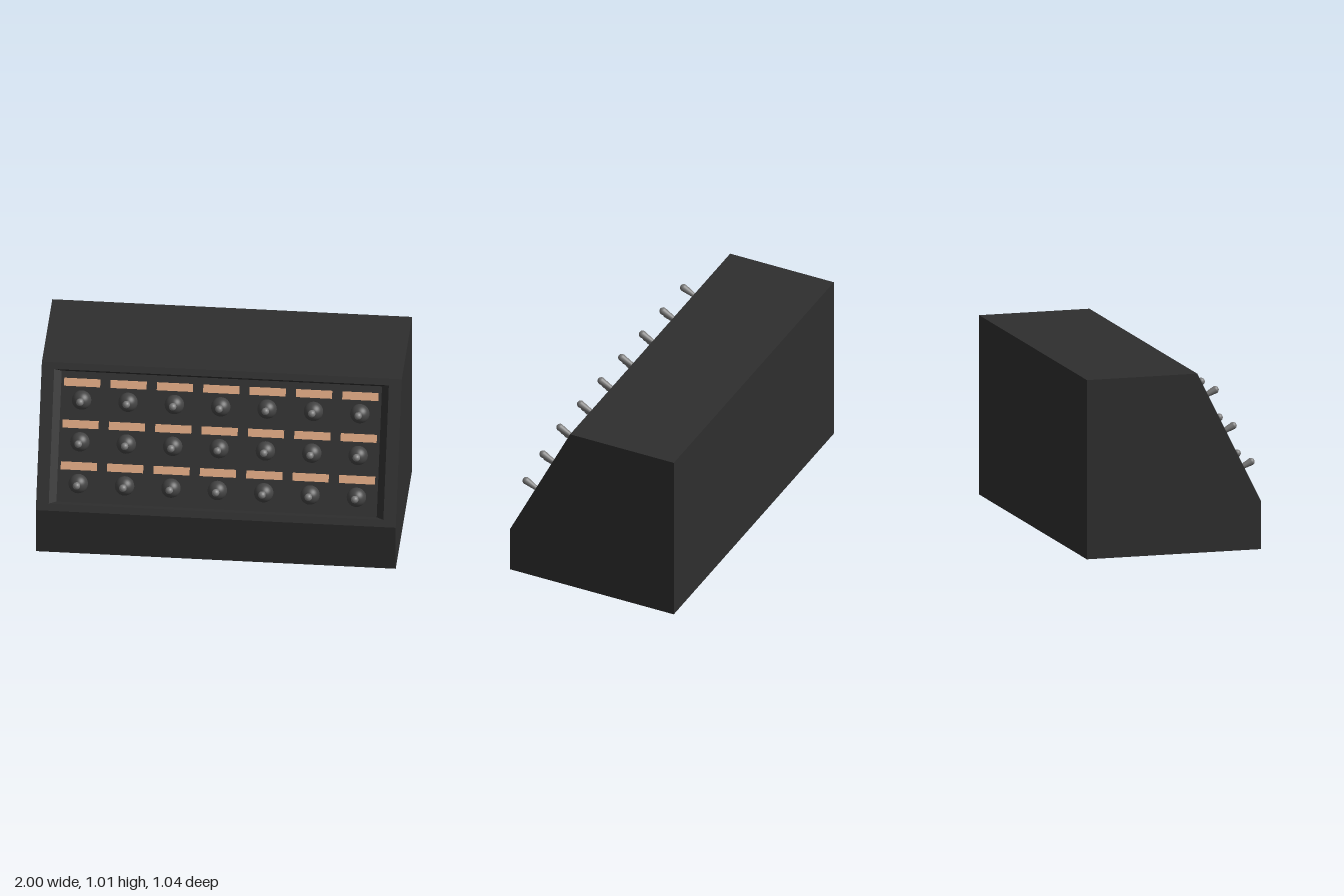
import * as THREE from 'three';

const paint = (color, extra = {}) => new THREE.MeshStandardMaterial({ color, ...extra });

// Flat-shaded surface from convex polygons, corners counter-clockwise from outside
function polygons(faces) {
  const pos = [];
  for (const f of faces)
    for (let i = 1; i < f.length - 1; i++) pos.push(...f[0], ...f[i], ...f[i + 1]);
  const geo = new THREE.BufferGeometry();
  geo.setAttribute('position', new THREE.Float32BufferAttribute(pos, 3));
  geo.computeVertexNormals();
  return geo;
}

export function createModel() {
  const model = new THREE.Group();
  model.name = 'switchConsole';
  const black = paint(0x2e2e2e);

  const add = (parent, name, geo, mat, x = 0, y = 0, z = 0) => {
    const mesh = new THREE.Mesh(geo, mat);
    mesh.name = name;
    mesh.position.set(x, y, z);
    parent.add(mesh);
    return mesh;
  };

  // Housing: side profile as [z, y]; the sloped edge stays open for the fascia
  const profile = [[0.49, 0.27], [0.49, 0], [-0.52, 0], [-0.52, 1.01], [0.12, 1.01]];
  const at = (x, [z, y]) => [x, y, z];
  const shell = [
    profile.map(p => at(1, p)),
    profile.map(p => at(-1, p)).reverse(),
  ];
  for (let i = 0; i < profile.length - 1; i++) {
    const a = profile[i], b = profile[i + 1];
    shell.push([at(-1, a), at(-1, b), at(1, b), at(1, a)]);
  }
  add(model, 'housing', polygons(shell), black);

  // Sloped control panel: local y runs up the slope, local z points outward
  const panel = new THREE.Group();
  panel.name = 'controlPanel';
  panel.position.set(0, 0.27, 0.49);
  panel.rotation.x = -Math.atan2(0.37, 0.74);
  model.add(panel);

  // Fascia: rim, bevelled recess walls and floor from nested rectangles
  const floor = -0.03;
  const rect = (x, y0, y1, z) => [[-x, y0, z], [x, y0, z], [x, y1, z], [-x, y1, z]];
  const rings = [
    rect(1, 0, Math.hypot(0.37, 0.74), 0),
    rect(0.93, 0.04, 0.79, 0),
    rect(0.89, 0.05, 0.78, floor),
  ];
  const fascia = [rings[2]];
  for (let r = 0; r < 2; r++)
    for (let i = 0; i < 4; i++) {
      const j = (i + 1) % 4;
      fascia.push([rings[r][i], rings[r][j], rings[r + 1][j], rings[r + 1][i]]);
    }
  add(panel, 'fascia', polygons(fascia), black);

  // Shared switch parts
  const labelGeo = new THREE.BoxGeometry(0.2, 0.043, 0.016);
  const domeGeo = new THREE.SphereGeometry(0.054, 28, 10, 0, Math.PI * 2, 0, Math.PI / 2);
  domeGeo.rotateX(Math.PI / 2);

  // Lever: slim at the dome, widening to a rounded tip
  const leverProfile = [new THREE.Vector2(0.012, 0.03), new THREE.Vector2(0.014, 0.06)];
  const tipRadius = 0.021, tipCentre = 0.122;
  for (let i = 0; i <= 8; i++) {
    const a = (i / 8) * Math.PI / 2;
    leverProfile.push(new THREE.Vector2(tipRadius * Math.cos(a), tipCentre + tipRadius * Math.sin(a)));
  }
  const leverGeo = new THREE.LatheGeometry(leverProfile, 20);
  leverGeo.rotateX(Math.PI / 2);

  const labelMat = paint(0xe0a982);
  const domeMat = paint(0x444444);
  const leverMat = paint(0x7a7a7a);

  // Three rows of seven labelled toggle switches
  for (let row = 0; row < 3; row++)
    for (let col = 0; col < 7; col++) {
      const toggle = new THREE.Group();
      toggle.name = `toggleSwitch_${row + 1}_${col + 1}`;
      toggle.position.set((col - 3) * 0.2577, 0.622 - row * 0.233, floor);
      panel.add(toggle);
      add(toggle, 'label', labelGeo, labelMat, 0, 0.098, 0.008);
      add(toggle, 'dome', domeGeo, domeMat);
      add(toggle, 'lever', leverGeo, leverMat);
    }

  return model;
}
